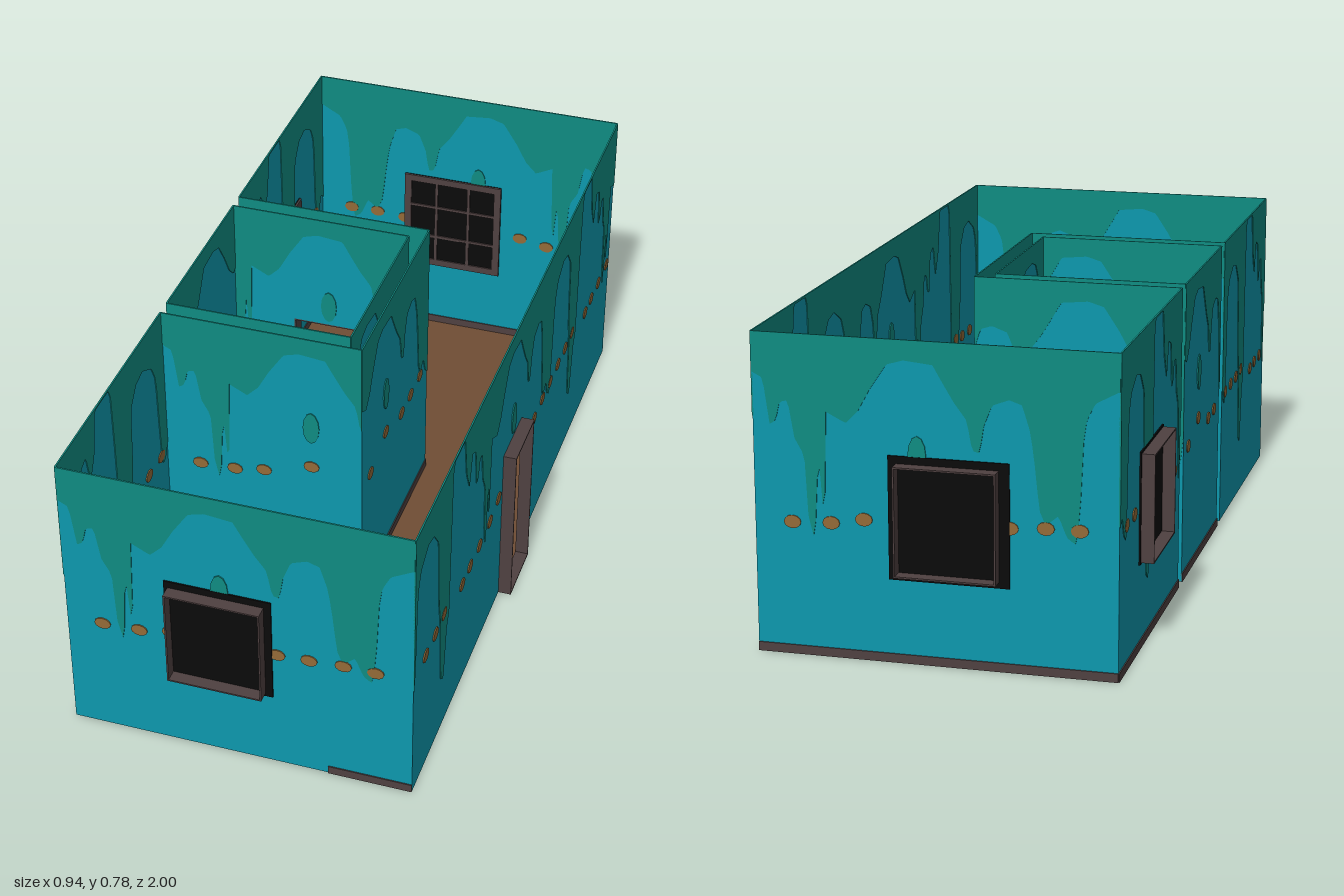
import * as THREE from 'three';

const mat = (name, color, side = THREE.FrontSide) => {
  const m = new THREE.MeshStandardMaterial({ color, side });
  m.name = name;
  return m;
};

const H = 0.78; // wall height
const X = 0.437, Z = 0.965; // outer half width and half length
const PERIOD = 1.24; // repeat of the painted drips

// Lower edge of the dripping paint over one repeat: [along, height]
const DRIPS = [
  [-0.44, 0.685], [-0.41, 0.67], [-0.395, 0.56], [-0.38, 0.57], [-0.37, 0.615], [-0.35, 0.62],
  [-0.335, 0.53], [-0.312, 0.49], [-0.305, 0.34], [-0.29, 0.285], [-0.265, 0.31], [-0.278, 0.5],
  [-0.26, 0.6], [-0.21, 0.575], [-0.18, 0.605], [-0.15, 0.66], [-0.11, 0.72], [-0.07, 0.732],
  [0, 0.725], [0.02, 0.69], [0.05, 0.64], [0.08, 0.6], [0.092, 0.53], [0.11, 0.525], [0.12, 0.59],
  [0.14, 0.64], [0.18, 0.655], [0.21, 0.645], [0.23, 0.58], [0.24, 0.5], [0.25, 0.4], [0.265, 0.365],
  [0.295, 0.39], [0.315, 0.34], [0.335, 0.325], [0.345, 0.38], [0.352, 0.56], [0.36, 0.62], [0.38, 0.66],
  [0.435, 0.69], [0.48, 0.68], [0.52, 0.63], [0.53, 0.45], [0.55, 0.35], [0.56, 0.17], [0.585, 0.15],
  [0.605, 0.3], [0.625, 0.34], [0.632, 0.74], [0.645, 0.775], [0.73, 0.775], [0.75, 0.66], [0.78, 0.6],
  [0.8, 0.685],
].sort((p, q) => p[0] - q[0]);

// Spots of the painted border: [along, height]
const SPOTS = [
  [-0.43, 0.328], [-0.345, 0.327], [-0.25, 0.331], [-0.17, 0.345], [-0.04, 0.385], [0.1, 0.347], [0.18, 0.351],
  [0.265, 0.357], [0.345, 0.357], [0.43, 0.357], [0.51, 0.357], [0.58, 0.363], [0.74, 0.325],
];

function dripHeight(t) {
  const u = ((((t + 0.44) % PERIOD) + PERIOD) % PERIOD) - 0.44;
  for (let i = 1; i < DRIPS.length; i++) {
    const [a, ya] = DRIPS[i - 1], [b, yb] = DRIPS[i];
    if (u <= b) return ya + (yb - ya) * Math.min(1, Math.max(0, (u - a) / (b - a)));
  }
  return DRIPS[0][1];
}

export function createModel() {
  const model = new THREE.Group();
  model.name = 'roomInterior';
  const blue = mat('wallBlue', 0x0d98ae, THREE.DoubleSide);
  const green = mat('dripGreen', 0x0f8c82);
  const orange = mat('spotOrange', 0x946a38);
  const brown = mat('floorBrown', 0x704e35, THREE.DoubleSide);
  const trim = mat('trimBrown', 0x4f4141);
  const black = mat('glassBlack', 0x0b0b0b);

  const add = (parent, name, geometry, material) => {
    const mesh = new THREE.Mesh(geometry, material);
    mesh.name = name;
    parent.add(mesh);
    return mesh;
  };
  const box = (parent, name, material, x0, x1, y0, y1, z0, z1) => {
    const mesh = add(parent, name, new THREE.BoxGeometry(x1 - x0, y1 - y0, z1 - z0), material);
    mesh.position.set((x0 + x1) / 2, (y0 + y1) / 2, (z0 + z1) / 2);
  };
  const polygon = (pts) => new THREE.Shape(pts.map(([x, y]) => new THREE.Vector2(x, y)));

  // Thin open surround projecting from a wall
  function surround(parent, name, a, b, y0, y1, z0, z1) {
    const t = 0.004;
    box(parent, name, trim, a, a + t, y0, y1, z0, z1);
    box(parent, name, trim, b - t, b, y0, y1, z0, z1);
    box(parent, name, trim, a, b, y0, y0 + t, z0, z1);
    box(parent, name, trim, a, b, y1 - t, y1, z0, z1);
  }

  // Wall sheet along local x from a to b, painted on both sides
  function wall(name, turn, dist, a, b, { shift = 0, door = null, base = null } = {}) {
    const g = new THREE.Group();
    g.name = name;
    g.rotation.y = turn;
    g.position.set(Math.sin(turn) * dist, 0, Math.cos(turn) * dist);
    model.add(g);

    const outline = [[a, 0], [b, 0], [b, H], [a, H]];
    if (door) outline.splice(1, 0, [door[0], 0], [door[0], 0.45], [door[1], 0.45], [door[1], 0]);
    add(g, 'wallSheet', new THREE.ShapeGeometry(polygon(outline)), blue);

    // dripping paint
    const n = Math.ceil((b - a) / 0.006);
    const edge = [[b, H], [a, H]];
    for (let i = 0; i <= n; i++) {
      const x = a + ((b - a) * i) / n;
      edge.push([x, dripHeight(x + shift)]);
    }
    const paint = new THREE.ExtrudeGeometry(polygon(edge), { depth: 0.004, bevelEnabled: false });
    add(g, 'dripPaint', paint.translate(0, 0, -0.002), green);

    // border spots and the loose drop
    const disc = (label, x, y, rx, ry, material) => {
      if (x - rx < a || x + rx > b) return;
      if (door && x + rx > door[0] && x - rx < door[1] && y - ry < 0.45) return;
      const geo = new THREE.CylinderGeometry(1, 1, 0.006, 12).rotateX(Math.PI / 2);
      const d = add(g, label, geo, material);
      d.scale.set(rx, ry, 1);
      d.position.set(x, y, 0);
    };
    for (const k of [-1, 0, 1]) {
      for (const [u, y] of SPOTS) disc('borderSpot', u - shift + k * PERIOD, y, 0.021, 0.016, orange);
      disc('paintDrop', -0.04 - shift + k * PERIOD, 0.508, 0.022, 0.047, green);
    }
    if (base) box(g, 'baseboard', trim, base[0], base[1], 0, 0.022, -0.003, 0.003);
    return g;
  }

  // Window: dark pane, outer surround, inner frame with bars
  function windowOn(g, pane, rim) {
    const [a, b, y0, y1] = pane;
    box(g, 'windowPane', black, a, b, y0, y1, -0.004, 0.004);
    surround(g, 'windowSurround', rim[0], rim[1], 0.22, 0.487, 0, 0.036);
    const bar = (x0, x1, v0, v1) => box(g, 'windowBar', trim, x0, x1, v0, v1, -0.008, -0.003);
    const t = 0.02;
    bar(a, a + t, y0, y1);
    bar(b - t, b, y0, y1);
    bar(a, b, y0, y0 + t);
    bar(a, b, y1 - t, y1);
    for (const f of [1 / 3, 2 / 3]) {
      const x = a + (b - a) * f, y = y0 + (y1 - y0) * f;
      bar(x - 0.004, x + 0.004, y0, y1);
      bar(a, b, y - 0.004, y + 0.004);
    }
  }

  const Q = Math.PI / 2;
  const nx = 0.095, nz0 = -0.275, nz1 = 0.3; // recess in the main room
  const rx = 0.052, rz0 = -0.23, rz1 = 0.256; // small room
  const inner = [-0.27, -0.095]; // inner doorway

  // Main room
  const front = wall('frontWall', 0, Z, -X, X, { base: [0.225, X] });
  windowOn(front, [-0.18, 0.088, 0.21, 0.505], [-0.17, 0.07]);
  const right = wall('doorWall', Q, X, -Z, Z, { shift: 0.06, door: [-0.19, -0.015] });
  surround(right, 'doorSurround', -0.19, -0.015, 0, 0.45, 0, 0.034);
  const back = wall('backWall', 2 * Q, Z, -X, X, { base: [-X, X] });
  windowOn(back, [-0.11, 0.18, 0.205, 0.505], [-0.09, 0.155]);
  const side = wall('windowSideWall', -Q, X, -Z, nz0, { base: [-Z, nz0] });
  windowOn(side, [-0.755, -0.5, 0.215, 0.492], [-0.75, -0.505]);
  wall('plainSideWall', -Q, X, nz1, Z);
  wall('recessFrontWall', 0, nz1, -X, nx);
  wall('recessSideWall', Q, nx, -nz1, -nz0, { shift: 0.06, base: [-nz1, -nz0] });
  const passage = wall('recessBackWall', 0, nz0, -X, nx, { shift: 0.13, door: inner });
  surround(passage, 'innerDoorSurround', ...inner, 0, 0.45, 0, rz0 - nz0);

  // Small room
  wall('smallRoomFrontWall', 0, rz1, -X, rx);
  wall('smallRoomBackWall', 0, rz0, -X, rx, { shift: 0.13, door: inner });
  wall('smallRoomRightWall', Q, rx, -rz1, -rz0, { shift: 0.06 });
  wall('smallRoomSideWall', -Q, X, rz0, rz1, { base: [rz0, rz1] });

  // Floors, drawn in plan as [x, z]
  const floor = (name, pts) =>
    add(model, name, new THREE.ShapeGeometry(polygon(pts.map(([x, z]) => [x, -z]))).rotateX(-Q), brown);
  floor('mainFloor', [[-X, Z], [X, Z], [X, -Z], [-X, -Z], [-X, nz0], [nx, nz0], [nx, nz1], [-X, nz1]]);
  floor('smallRoomFloor', [[-X, rz1], [rx, rz1], [rx, rz0], [-X, rz0]]);

  return model;
}
